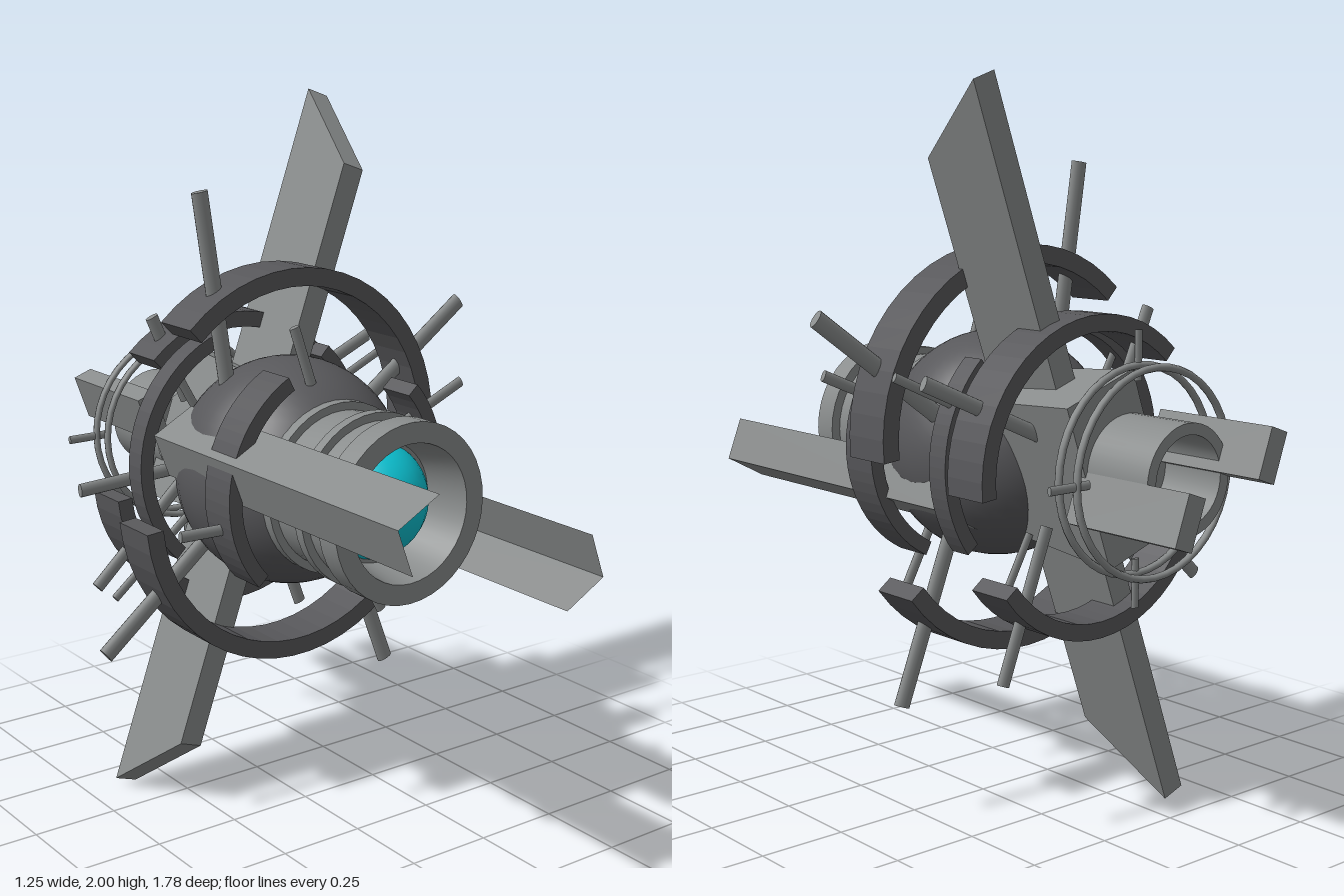
import * as THREE from 'three';
import { toCreasedNormals } from 'three/addons/utils/BufferGeometryUtils.js';

const CY = 1.01, CX = -0.055, TILT = THREE.MathUtils.degToRad(19.6);
const light = new THREE.MeshStandardMaterial({ color: 0x898c8c, side: THREE.DoubleSide });
const dark = new THREE.MeshStandardMaterial({ color: 0x58585b, side: THREE.DoubleSide });
const teal = new THREE.MeshStandardMaterial({ color: 0x0cc2d2 });

export function createModel() {
  const model = new THREE.Group();

  const add = (name, geometry, x = 0, y = 0, z = 0, material = light) => {
    const mesh = new THREE.Mesh(geometry, material);
    mesh.name = name;
    mesh.position.set(x, y, z);
    model.add(mesh);
    return mesh;
  };

  // turned part along z, from [radius, z] points
  const turned = (name, points, x = CX) => {
    const g = new THREE.LatheGeometry(points.map(p => new THREE.Vector2(...p)), 40);
    g.rotateX(Math.PI / 2);
    add(name, toCreasedNormals(g, 0.6), x, CY, 0);
  };

  // curved dark plate between two angles (degrees)
  const arcPlate = (name, x, y, z0, z1, outer, inner, a0, a1) => {
    const s = new THREE.Shape();
    const [t0, t1] = [a0, a1].map(THREE.MathUtils.degToRad);
    s.absarc(0, 0, outer, t0, t1, false);
    s.absarc(0, 0, inner, t1, t0, true);
    s.closePath();
    const g = new THREE.ExtrudeGeometry(s, { depth: z1 - z0, bevelEnabled: false, curveSegments: 10 });
    add(name, g, x, y, z0, dark);
  };

  // rod of flattened section lying in a plane of constant z
  const rod = (name, z, radius, x0, y0, x1, y1) => {
    const dx = x1 - x0, dy = y1 - y0;
    const g = new THREE.CylinderGeometry(radius, radius, Math.hypot(dx, dy), 12).scale(1, 1, 0.55);
    add(name, g, (x0 + x1) / 2, (y0 + y1) / 2, z).rotation.z = Math.atan2(-dx, dy);
  };

  // round hull, banded front barrel with funnel, rear tube
  add('hull', new THREE.SphereGeometry(0.315, 40, 28), CX, CY, 0, dark);
  turned('barrel', [[0.235, 0.19], [0.235, 0.24], [0.213, 0.24], [0.213, 0.35], [0.235, 0.35], [0.235, 0.38],
    [0.213, 0.38], [0.213, 0.46], [0.24, 0.46], [0.24, 0.53], [0.185, 0.53], [0.162, 0.4], [0, 0.4]]);
  turned('rearTube', [[0.145, -0.5], [0.145, -0.75], [0.115, -0.75], [0.115, -0.56], [0, -0.56]], -0.03);
  add('eye', new THREE.SphereGeometry(0.16, 32, 20), CX, CY, 0.35, teal);

  // rear block between the fins, narrowing toward the hull
  const block = new THREE.BoxGeometry(0.24, 0.46, 0.42);
  const pos = block.attributes.position;
  for (let i = 0; i < pos.count; i++) {
    if (pos.getZ(i) > 0) pos.setXY(i, pos.getX(i) * 0.85, pos.getY(i) * 0.85);
  }
  block.computeVertexNormals();
  add('rearBlock', block, -0.005, CY, -0.33).rotation.z = -TILT;

  // swept fin, standing up from the axis
  const fin = new THREE.Shape([[0.13, 0], [0.13, 0.85], [0.39, 1.05], [0.39, 0]].map(p => new THREE.Vector2(...p)));
  const finGeo = new THREE.ExtrudeGeometry(fin, { depth: 0.07, bevelEnabled: false });
  finGeo.translate(0, 0, -0.035).rotateY(Math.PI / 2);

  // thin side strip with one lengthwise fold
  const v = [];
  for (const [x, y] of [[0.285, -0.003], [0.33, -0.122], [0.21, -0.187]]) v.push(x, y, -0.16, x, y, 0.89);
  const folded = new THREE.BufferGeometry();
  folded.setAttribute('position', new THREE.Float32BufferAttribute(v, 3));
  folded.setIndex([0, 2, 1, 1, 2, 3, 2, 4, 3, 3, 4, 5]);
  const stripGeo = folded.toNonIndexed();
  stripGeo.computeVertexNormals();

  // tilted bar beside the rear tube
  const barGeo = new THREE.BoxGeometry(0.06, 0.135, 0.38);
  barGeo.rotateZ(TILT).translate(0.145, -0.065, -0.7);

  for (const turn of [0, Math.PI]) {
    add('fin', finGeo, -0.025, 1.005, 0).rotation.z = turn - TILT;
    add('sideStrip', stripGeo, -0.06, 1.0, 0).rotation.z = turn;
    add('rearBar', barGeo, -0.035, CY, 0).rotation.z = turn;
  }

  // broken rings of curved plates around the hull
  arcPlate('largeArcUpper', -0.035, 1.075, -0.145, 0, 0.49, 0.44, -6, 133);
  arcPlate('largeArcLower', -0.025, 0.945, -0.145, 0, 0.49, 0.44, 185, 323);
  arcPlate('rearArcUpper', -0.025, 1.0, -0.44, -0.305, 0.4, 0.355, -6, 133);
  arcPlate('rearArcLower', -0.025, 0.94, -0.44, -0.305, 0.4, 0.355, 185, 323);
  arcPlate('frontArcLeft', -0.035, CY, 0.09, 0.205, 0.355, 0.315, -62, 42);
  arcPlate('frontArcRight', -0.035, CY, 0.09, 0.205, 0.355, 0.315, 118, 222);
  arcPlate('midArcLeft', -0.03, CY, -0.265, -0.2, 0.38, 0.34, -37, 47);
  arcPlate('midArcRight', -0.03, CY, -0.265, -0.2, 0.38, 0.34, 108, 225);

  // rods standing out from each ring: z, radius, then end points
  const rods = [
    [-0.07, 0.025, [[-0.21, 1.25, -0.29, 1.78], [0.17, 0.8, 0.345, 0.34],
      [0.22, 1.12, 0.605, 1.4], [-0.25, 0.86, -0.61, 0.565]]],
    [-0.375, 0.02, [[0.12, 1.09, 0.505, 1.26], [-0.2, 0.95, -0.505, 0.935],
      [0.1, 0.85, 0.25, 0.45], [-0.15, 1.15, -0.26, 1.4], [-0.18, 0.9, -0.46, 0.64]]],
    [0.15, 0.016, [[0.2, 1.12, 0.43, 1.22], [-0.3, 0.93, -0.505, 0.935],
      [-0.09, 1.28, -0.145, 1.44], [0.07, 0.76, 0.155, 0.6]]],
    [-0.24, 0.013, [[0.14, 1.1, 0.49, 1.26], [0.04, 0.8, 0.15, 0.6],
      [-0.2, 0.88, -0.48, 0.65], [-0.2, 1.15, -0.28, 1.29]]],
  ];
  for (const [z, radius, list] of rods) for (const ends of list) rod('rod', z, radius, ...ends);

  // thin rear hoops with small pins
  const hoop = new THREE.TorusGeometry(0.27, 0.01, 8, 40);
  for (const z of [-0.565, -0.63]) add('rearHoop', hoop, -0.035, CY, z);
  for (const s of [-1, 1]) {
    rod('hoopPin', -0.565, 0.012, -0.035, CY + s * 0.23, -0.035, CY + s * 0.36);
    rod('hoopPin', -0.63, 0.012, -0.035 + s * 0.23, CY, -0.035 + s * 0.36, CY);
  }
  return model;
}
